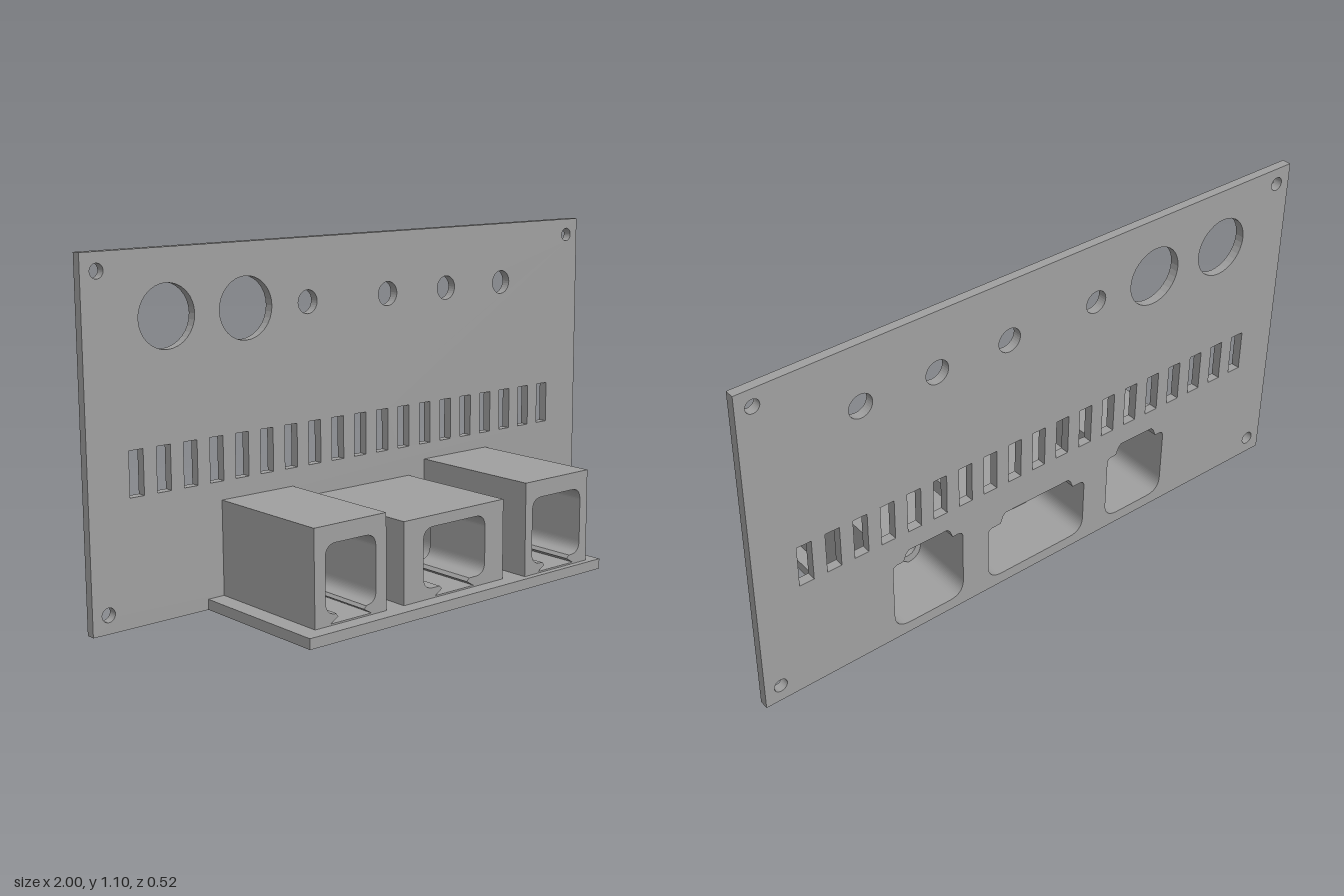
import * as THREE from 'three';

const BACK = -0.26, FACE = -0.23, STEP = -0.04; // depth planes of the panel and socket recess

function rect(x0, y0, x1, y1, P = THREE.Path) {
  const p = new P();
  p.moveTo(x0, y0); p.lineTo(x1, y0); p.lineTo(x1, y1); p.lineTo(x0, y1); p.closePath();
  return p;
}

function circle(x, y, r) {
  return new THREE.Path().absarc(x, y, r, 0, Math.PI * 2, true);
}

// Front opening: rounded window with a flared key slot below
function windowHole({ hole: [x0, x1, top], neck }) {
  const c = (x0 + x1) / 2, y0 = 0.065, r = 0.04, p = new THREE.Path();
  p.moveTo(c - neck - 0.028, 0.038);
  p.lineTo(c + neck + 0.028, 0.038);
  p.lineTo(c + neck, 0.055);
  p.lineTo(c + neck + 0.01, y0);
  p.lineTo(x1 - r, y0);
  p.quadraticCurveTo(x1, y0, x1, y0 + r);
  p.lineTo(x1, top - r);
  p.quadraticCurveTo(x1, top, x1 - r, top);
  p.lineTo(x0 + r, top);
  p.quadraticCurveTo(x0, top, x0, top - r);
  p.lineTo(x0, y0 + r);
  p.quadraticCurveTo(x0, y0, x0 + r, y0);
  p.lineTo(c - neck - 0.01, y0);
  p.lineTo(c - neck, 0.055);
  p.closePath();
  return p;
}

// Rear opening: larger rounded recess with a raised tab on top
function recessHole({ box: [bx0, bx1, by], tab }) {
  const c = (bx0 + bx1) / 2, x0 = bx0 + 0.014, x1 = bx1 - 0.014;
  const y0 = 0.038, top = by - 0.015, sh = by - 0.05, r = 0.055, s = 0.02;
  const p = new THREE.Path();
  p.moveTo(x0 + r, y0);
  p.lineTo(x1 - r, y0);
  p.quadraticCurveTo(x1, y0, x1, y0 + r);
  p.lineTo(x1, sh - s);
  p.quadraticCurveTo(x1, sh, x1 - s, sh);
  p.lineTo(c + tab + 0.01, sh);
  p.lineTo(c + tab, top - 0.01);
  p.lineTo(c + tab - 0.01, top);
  p.lineTo(c - tab + 0.01, top);
  p.lineTo(c - tab, top - 0.01);
  p.lineTo(c - tab - 0.01, sh);
  p.lineTo(x0 + s, sh);
  p.quadraticCurveTo(x0, sh, x0, sh - s);
  p.lineTo(x0, y0 + r);
  p.quadraticCurveTo(x0, y0, x0 + r, y0);
  return p;
}

export function createModel() {
  const model = new THREE.Group();
  const grey = new THREE.MeshStandardMaterial({ color: 0xa0a0a0 });
  grey.name = 'grey';

  const slab = (name, shape, z0, z1, parent = model) => {
    const geo = new THREE.ExtrudeGeometry(shape, { depth: z1 - z0, bevelEnabled: false, curveSegments: 16 });
    geo.translate(0, 0, z0);
    const mesh = new THREE.Mesh(geo, grey);
    mesh.name = name;
    parent.add(mesh);
  };

  // box: left, right, top; hole: left, right, top
  const sockets = [
    { name: 'rightSocket', box: [-0.545, -0.277, 0.33], hole: [-0.505, -0.317, 0.275], front: 0.21, neck: 0.048, tab: 0.075 },
    { name: 'middleSocket', box: [-0.208, 0.205, 0.29], hole: [-0.13, 0.126, 0.255], front: 0.21, neck: 0.052, tab: 0.135 },
    { name: 'leftSocket', box: [0.274, 0.558, 0.335], hole: [0.305, 0.525, 0.28], front: 0.24, neck: 0.052, tab: 0.08 },
  ];

  // Panel with screw holes, round ports, vent slots and socket openings
  const panel = rect(-1, 0, 1, 1.097, THREE.Shape);
  for (const x of [-0.947, 0.947])
    for (const y of [0.057, 1.043]) panel.holes.push(circle(x, y, 0.022));
  for (const [x, r] of [[-0.722, 0.096], [-0.443, 0.096], [-0.21, 0.037], [0.115, 0.039], [0.37, 0.039], [0.625, 0.039]])
    panel.holes.push(circle(x, 0.899, r));
  for (let i = 0; i < 19; i++) {
    const x = -0.839 + i * 0.0929;
    panel.holes.push(rect(x - 0.024, 0.388, x + 0.024, 0.526));
  }
  sockets.forEach(s => panel.holes.push(recessHole(s)));
  slab('panel', panel, BACK, FACE);

  // Shelf under the sockets
  slab('shelf', rect(-0.603, 0, 0.603, 0.033, THREE.Shape), FACE, 0.26);

  // Socket housings: wide recess behind, narrow window in front
  for (const s of sockets) {
    const group = new THREE.Group();
    group.name = s.name;
    const outline = () => rect(s.box[0], 0.033, s.box[1], s.box[2], THREE.Shape);
    const rear = outline();
    rear.holes.push(recessHole(s));
    slab('rearHousing', rear, FACE, STEP, group);
    const front = outline();
    front.holes.push(windowHole(s));
    slab('frontHousing', front, STEP, s.front, group);
    model.add(group);
  }
  return model;
}
